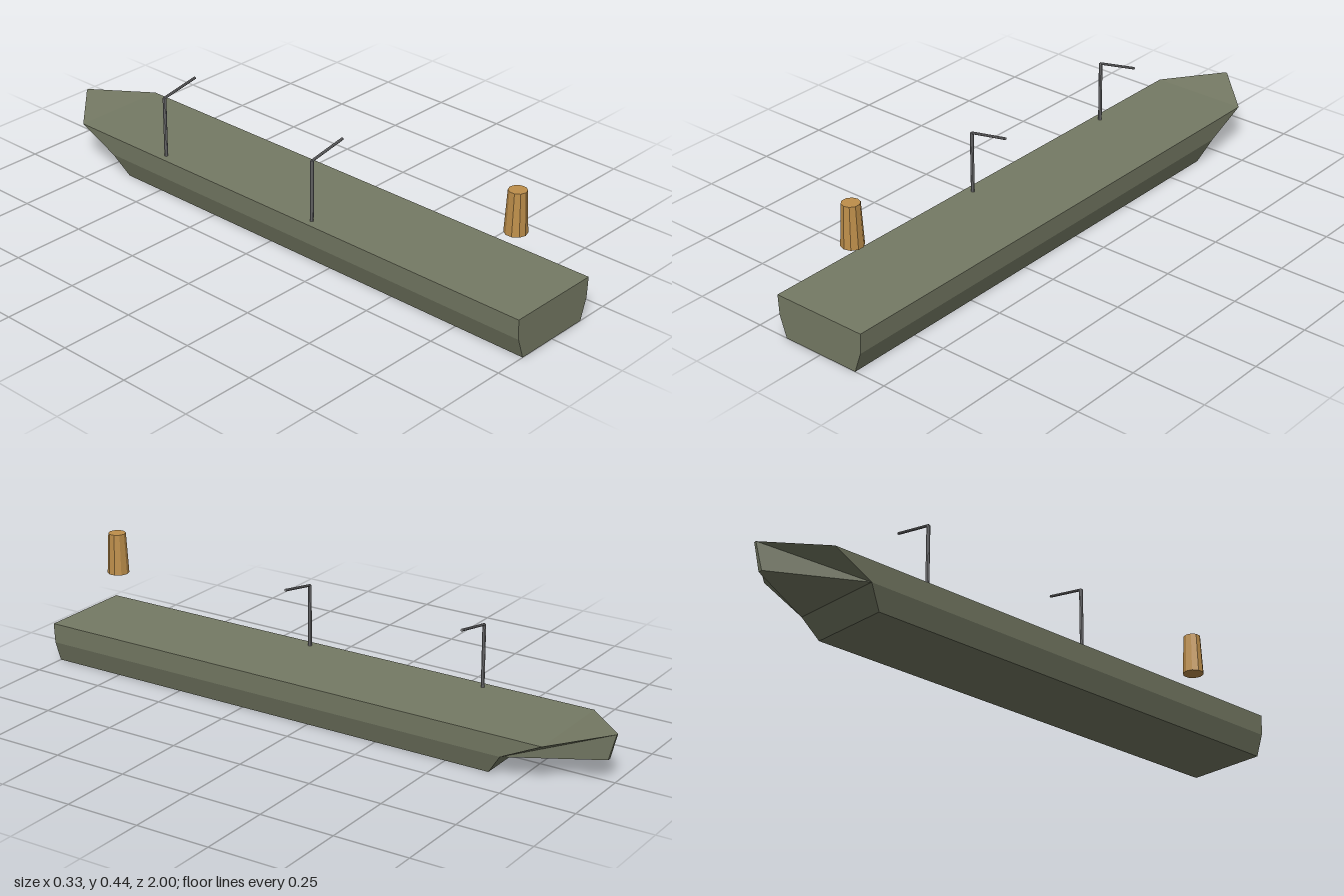
import * as THREE from 'three';

const material = (name, color, flatShading = true) =>
  Object.assign(new THREE.MeshStandardMaterial({ color, flatShading }), { name });

// Hull corners on the +x side; the other side is mirrored
const P = {
  bottomStern: [0.138, 0, 1], chineStern: [0.162, 0.07, 1], deckStern: [0.166, 0.138, 1],
  bottomBow: [0.138, 0, -0.65], chineBow: [0.162, 0.07, -0.7], deckBow: [0.166, 0.138, -0.84],
  stemFoot: [0.007, 0.07, -0.977], stemHead: [0.004, 0.156, -1],
};

function hullGeometry() {
  const pos = [];
  const flip = ([x, y, z]) => [-x, y, z];
  const face = (pts) => {
    for (let i = 1; i < pts.length - 1; i++) pos.push(...pts[0], ...pts[i], ...pts[i + 1]);
  };

  // Side panels and the folded bow flare
  const sides = [
    [P.bottomStern, P.bottomBow, P.chineBow, P.chineStern],
    [P.chineStern, P.chineBow, P.deckBow, P.deckStern],
    [P.chineBow, P.stemHead, P.deckBow],
    [P.chineBow, P.stemFoot, P.stemHead],
  ];
  for (const s of sides) {
    face(s);
    face(s.map(flip).reverse());
  }

  // Panels running across: transom, bottom, forefoot, stem, foredeck and deck
  const ring = [P.deckStern, P.chineStern, P.bottomStern, P.bottomBow,
    P.chineBow, P.stemFoot, P.stemHead, P.deckBow];
  ring.forEach((p, i) => {
    const q = ring[(i + 1) % ring.length];
    face([p, flip(p), flip(q), q]);
  });

  const g = new THREE.BufferGeometry();
  g.setAttribute('position', new THREE.Float32BufferAttribute(pos, 3));
  g.computeVertexNormals();
  return g;
}

// Straight rod between two points
function rod(name, a, b, radius, mat) {
  const from = new THREE.Vector3(...a), to = new THREE.Vector3(...b);
  const dir = to.clone().sub(from);
  const mesh = new THREE.Mesh(new THREE.CylinderGeometry(radius, radius, dir.length(), 8), mat);
  mesh.position.copy(from).add(to).multiplyScalar(0.5);
  mesh.quaternion.setFromUnitVectors(new THREE.Vector3(0, 1, 0), dir.normalize());
  mesh.name = name;
  return mesh;
}

export function createModel() {
  const olive = material('olive hull', 0x757a64);
  const steel = material('grey steel', 0x7c7c7e);
  const brass = material('brass', 0xbe8f4b);
  const model = new THREE.Group();
  model.name = 'barge';

  const hull = new THREE.Mesh(hullGeometry(), olive);
  hull.name = 'hull';
  model.add(hull);

  // Two davits along the -x edge, arms reaching to the centreline
  for (const z of [0.175, -0.469]) {
    const davit = new THREE.Group();
    davit.name = 'davit';
    davit.add(
      rod('post', [-0.138, 0.136, z], [-0.138, 0.345, z], 0.006, steel),
      rod('arm', [-0.138, 0.345, z], [0, 0.37, z], 0.0045, steel),
    );
    model.add(davit);
  }

  // Tapered ten-sided funnel floating above the stern
  const funnel = new THREE.Mesh(new THREE.CylinderGeometry(0.029, 0.036, 0.138, 10), brass);
  funnel.position.set(0, 0.369, 0.85);
  funnel.name = 'funnel';
  model.add(funnel);

  return model;
}
